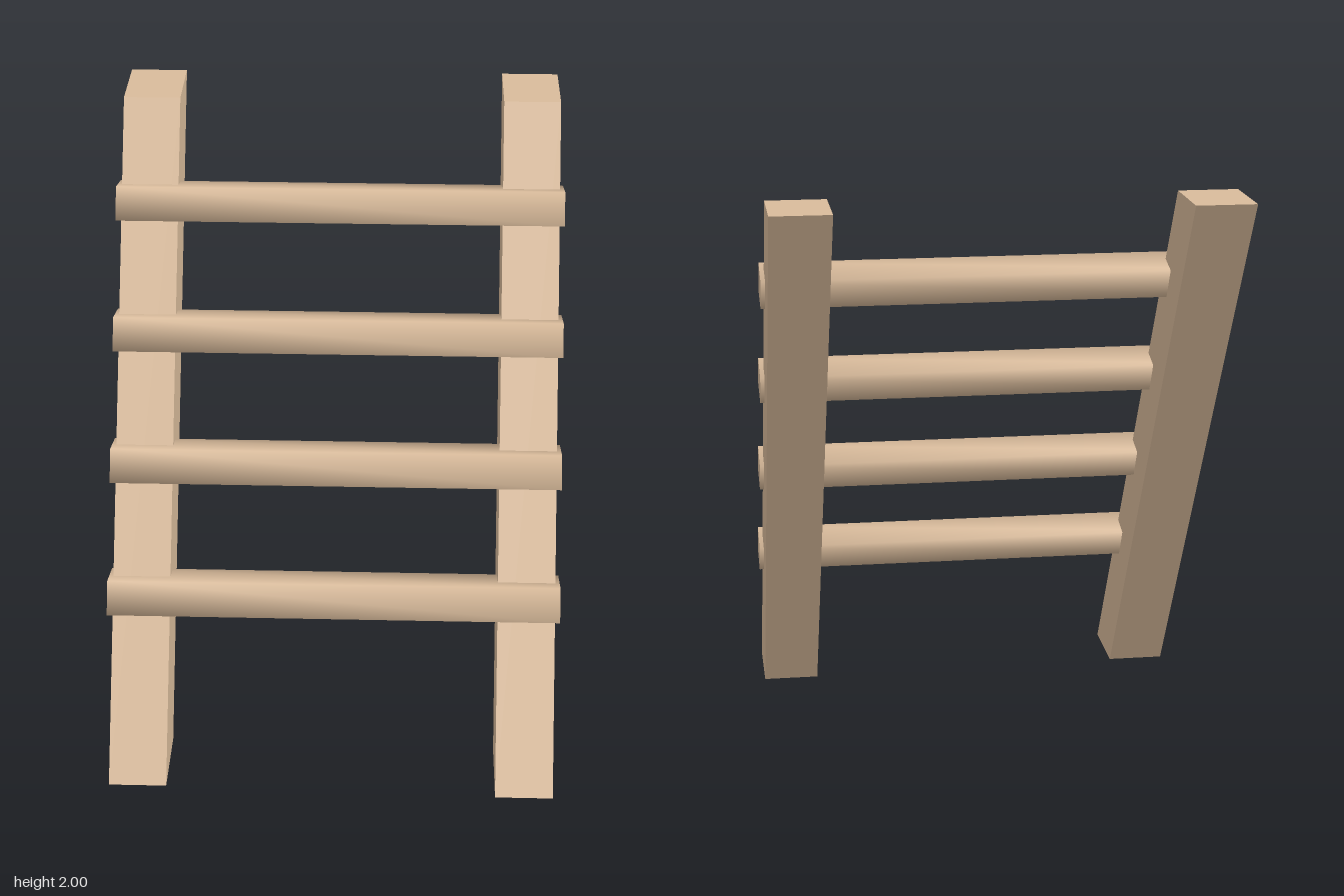
import * as THREE from 'three';

// Skin between two four-cornered sections, with optional end caps.
function loft(a, b, { startCap = true, endCap = true, smooth = false } = {}) {
  const points = [...a, ...b];
  const index = [];
  for (let i = 0; i < 4; i++) {
    const j = (i + 1) % 4;
    index.push(i, j, 4 + j, i, 4 + j, 4 + i);
  }
  const cap = (loop) => {
    const n = points.length;
    points.push(...loop);
    index.push(n, n + 1, n + 2, n, n + 2, n + 3);
  };
  if (startCap) cap([...a].reverse());
  if (endCap) cap(b);
  let geometry = new THREE.BufferGeometry();
  geometry.setAttribute('position', new THREE.Float32BufferAttribute(points.flat(), 3));
  geometry.setIndex(index);
  if (!smooth) geometry = geometry.toNonIndexed();
  geometry.computeVertexNormals();
  return geometry;
}

export function createModel() {
  const ladder = new THREE.Group();
  ladder.name = 'ladder';
  const wood = new THREE.MeshStandardMaterial({ color: 0xd9bb9b, side: THREE.DoubleSide });
  wood.name = 'light wood';

  const add = (geometry, name) => {
    const mesh = new THREE.Mesh(geometry, wood);
    mesh.name = name;
    ladder.add(mesh);
  };

  // Leaning rails: level top, hollow open foot
  const slope = -0.639, frontZ = 0.768, depth = 0.263, half = 0.0975;
  const railSection = (x, y) => {
    const z = frontZ + slope * y;
    return [
      [x - half, y, z], [x + half, y, z],
      [x + half, y, z - depth], [x - half, y, z - depth],
    ];
  };
  for (const [name, x, foot] of [['leftRail', 0.655, 0], ['rightRail', -0.655, 0.015]]) {
    add(loft(railSection(x, foot), railSection(x, 2), { startCap: false }), name);
  }

  // Tilted rungs with softly shaded sides; profile as [z, y]
  const profile = [[0.49, 0.525], [0.35, 0.49], [0.295, 0.59], [0.43, 0.625]];
  for (let i = 0; i < 4; i++) {
    const y0 = i * 0.378;
    const section = (x) => profile.map(([z, y]) => [x, y + y0, z + slope * y0]);
    add(loft(section(-0.767), section(0.767), { smooth: true }), `rung${i + 1}`);
  }

  // The whole ladder stands slightly turned
  ladder.rotation.y = 0.0767;
  const model = new THREE.Group();
  model.name = 'leaningLadder';
  model.add(ladder);
  return model;
}
